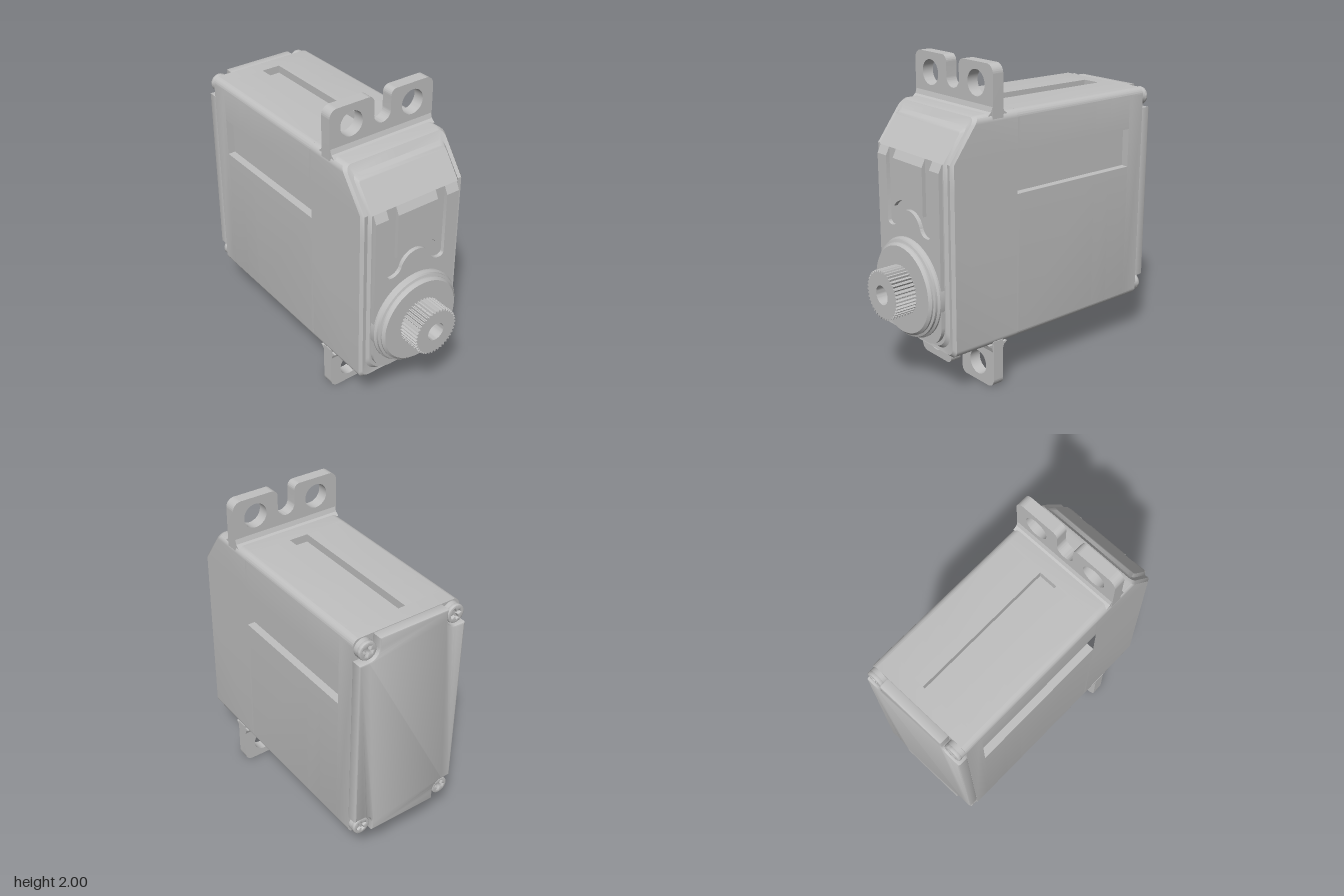
import * as THREE from 'three';
import { toCreasedNormals } from 'three/addons/utils/BufferGeometryUtils.js';

const PI = Math.PI;
const W = 0.37, Y0 = 0.29, Y1 = 1.72, MID = 1.005, R = 0.045;

export function createModel() {
  const grey = new THREE.MeshStandardMaterial({ color: 0xc0c0c0 });
  grey.name = 'grey plastic';
  const model = new THREE.Group();
  model.name = 'servoMotor';

  const add = (name, geo, parent = model) => {
    const mesh = new THREE.Mesh(toCreasedNormals(geo, 0.5), grey);
    mesh.name = name;
    parent.add(mesh);
    return mesh;
  };
  const poly = pts => new THREE.Shape(pts.map(p => new THREE.Vector2(p[0], p[1])));
  const extrudeZ = (shape, z0, z1, bevel = 0) => new THREE.ExtrudeGeometry(shape, {
    depth: z1 - z0 - 2 * bevel, bevelEnabled: bevel > 0, bevelSize: bevel, bevelThickness: bevel,
    bevelOffset: -bevel, bevelSegments: 2, curveSegments: 24,
  }).translate(0, 0, z0 + bevel);
  // profile given as (z, y), swept across x
  const extrudeX = (pts, x0, x1) => extrudeZ(poly(pts), 0, x1 - x0).rotateY(-PI / 2).translate(x1, 0, 0);

  // ---- case: slices along z, each with the pockets it crosses ----
  const caseSection = (side, top, bottom) => {
    const s = new THREE.Shape(), d = 0.05;
    s.moveTo(-W + R, Y0);
    if (bottom) [[-0.165, Y0], [-0.165, Y0 + d], [0.165, Y0 + d], [0.165, Y0]].forEach(p => s.lineTo(...p));
    s.absarc(W - R, Y0 + R, R, -PI / 2, 0);
    if (side) [[W, 1.215], [W - d, 1.215], [W - d, 1.465], [W, 1.465]].forEach(p => s.lineTo(...p));
    s.absarc(W - R, Y1 - R, R, 0, PI / 2);
    if (top) [[0.063, Y1], [0.063, Y1 - d], [-0.063, Y1 - d], [-0.063, Y1]].forEach(p => s.lineTo(...p));
    s.absarc(-W + R, Y1 - R, R, PI / 2, PI);
    if (side) [[-W, 1.465], [d - W, 1.465], [d - W, 1.215], [-W, 1.215]].forEach(p => s.lineTo(...p));
    s.absarc(-W + R, Y0 + R, R, PI, PI * 1.5);
    return s;
  };
  const body = new THREE.Group();
  body.name = 'case';
  model.add(body);
  const cuts = [-0.86, -0.76, -0.74, -0.57, -0.44, 0.18, 0.2];
  for (let i = 0; i < cuts.length - 1; i++) {
    const z = (cuts[i] + cuts[i + 1]) / 2;
    const geo = extrudeZ(caseSection(z > -0.74, z > -0.76 && z < 0.18, z > -0.57 && z < -0.44), cuts[i], cuts[i + 1]);
    // slight draft towards the back
    const p = geo.attributes.position;
    for (let k = 0; k < p.count; k++) {
      const t = (0.2 - p.getZ(k)) / 1.06;
      p.setX(k, p.getX(k) * (1 - 0.012 * t));
      p.setY(k, MID + (p.getY(k) - MID) * (1 - 0.008 * t));
    }
    add('caseSlice', geo, body);
  }

  // ---- front housing: loft with a sloping upper face and a raised plateau ----
  const slope = y => 0.7 - Math.max(0, y - 1.47) * 0.74;
  const ring = (w, y0, y1, rb, rt, zf) => {
    const half = [[0, y0]], n = 8;
    for (let i = 0; i <= n; i++) {
      const a = -PI / 2 + (i / n) * PI / 2;
      half.push([w - rb + rb * Math.cos(a), y0 + rb + rb * Math.sin(a)]);
    }
    [1.0, 1.3, 1.47].forEach(y => half.push([w, y]));
    for (let i = 0; i <= n; i++) {
      const a = (i / n) * PI / 2;
      half.push([w - rt + rt * Math.cos(a), y1 - rt + rt * Math.sin(a)]);
    }
    half.push([0, y1]);
    const left = half.slice(1, -1).reverse().map(([x, y]) => [-x, y]);
    return half.concat(left).map(([x, y]) => [x, y, zf(y)]);
  };
  const rings = [
    ring(W, Y0, Y1, R, R, () => 0.2),
    ring(W, Y0, Y1, R, R, y => slope(y) - 0.035),
    ring(0.355, 0.305, 1.712, 0.05, 0.04, y => slope(y) - 0.015),
    ring(0.33, 0.325, 1.665, 0.11, 0.03, y => slope(y) - 0.018),
    ring(0.315, 0.335, 1.65, 0.12, 0.03, slope),
  ];
  const M = rings[0].length, last = (rings.length - 1) * M, idx = [];
  for (let k = 0; k < rings.length - 1; k++) for (let i = 0; i < M; i++) {
    const a = k * M + i, b = k * M + (i + 1) % M;
    idx.push(a, b, b + M, a, b + M, a + M);
  }
  for (let i = 0; i < M / 2; i++) {
    const r0 = last + i, r1 = r0 + 1, l0 = last + (M - i) % M, l1 = last + M - i - 1;
    if (r1 !== l1) idx.push(r0, r1, l1);
    if (r0 !== l0) idx.push(r0, l1, l0);
  }
  const loft = new THREE.BufferGeometry();
  loft.setAttribute('position', new THREE.Float32BufferAttribute(rings.flat(2), 3));
  loft.setIndex(idx);
  add('frontHousing', loft);

  // ---- face plate, leaving a channel with an arch at its foot ----
  const face = new THREE.Shape();
  face.moveTo(-0.16, 0.345);
  face.lineTo(0.16, 0.345);
  face.absarc(0.165, 0.485, 0.14, -PI / 2, 0);
  face.lineTo(0.305, 1.42);
  face.lineTo(0.215, 1.42);
  face.absarc(0.185, 1.03, 0.03, 0, -PI / 2, true);
  face.quadraticCurveTo(0.13, 1.0, 0.115, 1.04);
  face.absarc(0, 1.015, 0.115, 0.25, PI - 0.25);
  face.quadraticCurveTo(-0.13, 1.0, -0.185, 1.0);
  face.absarc(-0.185, 1.03, 0.03, -PI / 2, -PI, true);
  face.lineTo(-0.215, 1.42);
  face.lineTo(-0.305, 1.42);
  face.absarc(-0.165, 0.485, 0.14, PI, PI * 1.5);
  add('facePlate', extrudeZ(face, 0.69, 0.725));
  const island = new THREE.Shape();
  island.moveTo(-0.145, 1.42);
  island.lineTo(-0.145, 1.125);
  island.bezierCurveTo(-0.09, 1.21, 0.09, 1.21, 0.145, 1.125);
  island.lineTo(0.145, 1.42);
  add('channelIsland', extrudeZ(island, 0.69, 0.725));
  for (const [a, b] of [[-0.305, -0.215], [-0.145, 0.145], [0.215, 0.305]])
    add('facePlateSlope', extrudeX([[0.69, 1.42], [0.725, 1.42], [0.7, 1.47], [0.69, 1.47]], a, b));

  // ---- stepped boss and splined output shaft ----
  const bossProfile = [[0.312, 0.69], [0.312, 0.735], [0.3, 0.745], [0.3, 0.76], [0.285, 0.765],
    [0.285, 0.775], [0.27, 0.79], [0, 0.79]].map(p => new THREE.Vector2(...p));
  add('outputBoss', new THREE.LatheGeometry(bossProfile, 64).rotateX(PI / 2).translate(0, 0.65, 0));
  const spline = [], teeth = 40;
  for (let i = 0; i < teeth * 4; i++) {
    const r = i % 4 < 2 ? 0.155 : 0.142, a = (i / (teeth * 4)) * PI * 2;
    spline.push([r * Math.cos(a), r * Math.sin(a)]);
  }
  const shaft = poly(spline);
  shaft.holes.push(new THREE.Path().absarc(0, 0, 0.06, 0, PI * 2, true));
  add('outputShaft', extrudeZ(shaft, 0.78, 0.93)).position.y = 0.65;

  // ---- mounting tabs, top and bottom ----
  const tab = new THREE.Shape();
  tab.moveTo(-W, 1.69);
  tab.lineTo(W, 1.69);
  tab.absarc(W - 0.055, 1.945, 0.055, 0, PI / 2);
  tab.absarc(0.1, 1.96, 0.04, PI / 2, PI);
  tab.absarc(0, 1.875, 0.06, 0, -PI, true);
  tab.absarc(-0.1, 1.96, 0.04, 0, PI / 2);
  tab.absarc(-W + 0.055, 1.945, 0.055, PI / 2, PI);
  for (const s of [-1, 1]) tab.holes.push(new THREE.Path().absarc(s * 0.218, 1.877, 0.078, 0, PI * 2, true));
  const fillet = [[0.275, 1.71], [0.42, 1.71], [0.395, 1.73], [0.385, 1.76], [0.31, 1.76], [0.3, 1.73]];
  for (const s of [1, -1]) {
    const g = new THREE.Group();
    g.name = s > 0 ? 'upperTab' : 'lowerTab';
    add('tabPlate', extrudeZ(tab, 0.31, 0.385), g);
    add('tabFillet', extrudeX(fillet, -W + 0.005, W - 0.005), g);
    if (s < 0) {
      g.rotation.z = PI;
      g.position.y = 2.005;
    }
    model.add(g);
  }

  // ---- back cover with scooped corners ----
  const hw = 0.366, hh = 0.708, cx = 0.303, cy = 0.645, sr = 0.068;
  const cover = new THREE.Shape();
  cover.moveTo(hw, -cy + sr);
  cover.lineTo(hw, cy - sr);
  cover.lineTo(cx, cy - sr);
  cover.absarc(cx, cy, sr, -PI / 2, -PI, true);
  cover.lineTo(cx - sr, hh);
  cover.lineTo(-cx + sr, hh);
  cover.absarc(-cx, cy, sr, 0, -PI / 2, true);
  cover.lineTo(-hw, cy - sr);
  cover.lineTo(-hw, -cy + sr);
  cover.absarc(-cx, -cy, sr, PI / 2, 0, true);
  cover.lineTo(-cx + sr, -hh);
  cover.lineTo(cx - sr, -hh);
  cover.absarc(cx, -cy, sr, PI, PI / 2, true);
  add('backCover', extrudeZ(cover, -0.925, -0.855, 0.01)).position.y = MID;

  // ---- corner screws with cross recess ----
  const head = new THREE.Shape().absarc(0, 0, 0.058, 0, PI * 2);
  const a = 0.009, b = 0.034;
  head.holes.push(poly([[a, a], [a, b], [-a, b], [-a, a], [-b, a], [-b, -a],
    [-a, -a], [-a, -b], [a, -b], [a, -a], [b, -a], [b, a]]));
  for (const sx of [-1, 1]) for (const sy of [-1, 1]) {
    const screw = new THREE.Group();
    screw.name = 'cornerScrew';
    add('screwHead', extrudeZ(head, -0.912, -0.88, 0.008), screw);
    add('screwBase', new THREE.CylinderGeometry(0.058, 0.058, 0.04, 24).rotateX(PI / 2).translate(0, 0, -0.87), screw);
    screw.rotation.z = sx * sy * 0.4;
    screw.position.set(sx * cx, MID + sy * cy, 0);
    model.add(screw);
  }
  return model;
}
